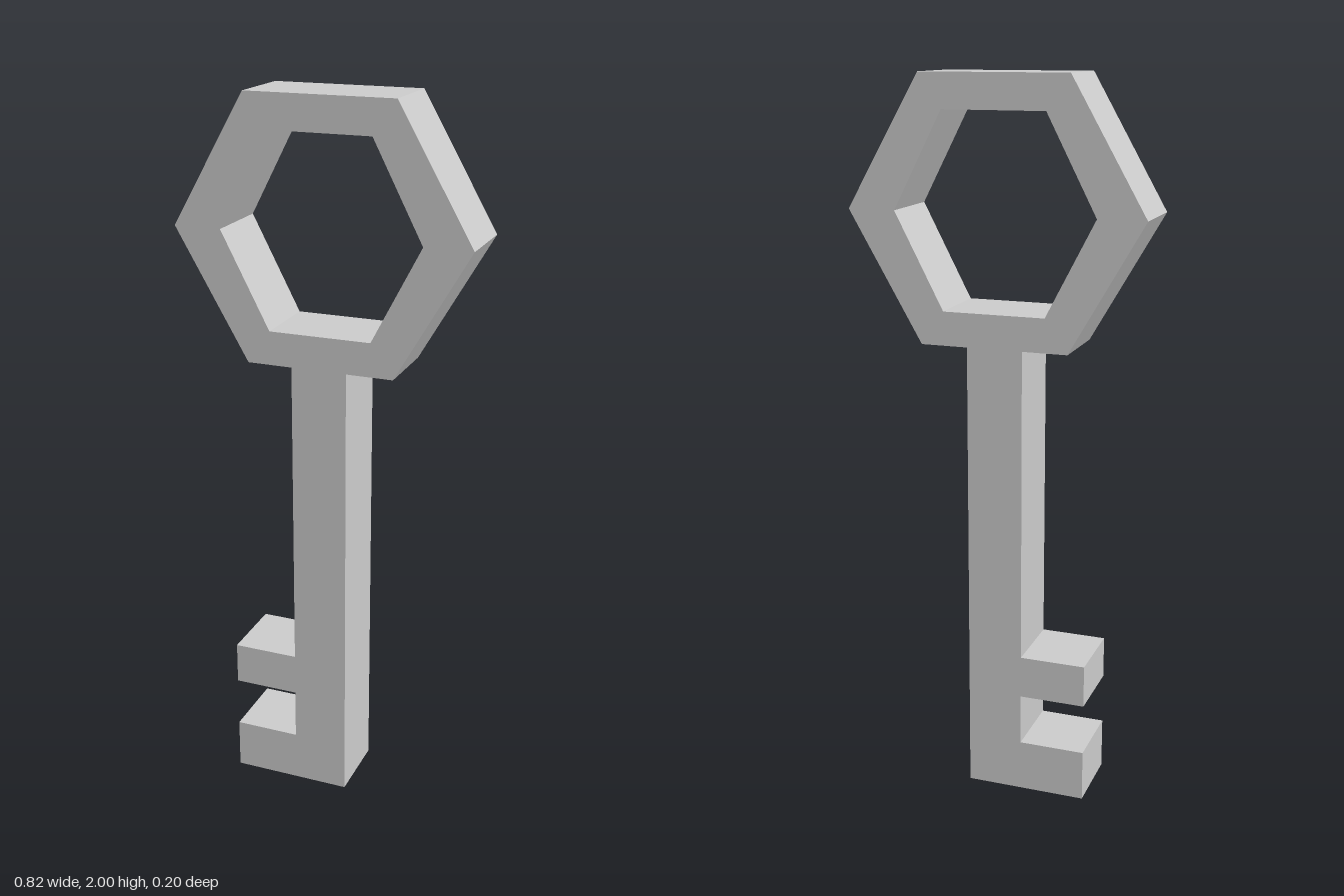
import * as THREE from 'three';

const DEPTH = 0.205;
const BOW_Y = 1.645;

const toPoints = (pairs) => pairs.map(([x, y]) => new THREE.Vector2(x, y));

// Flat-topped hexagon: half width, half height, half length of the flat sides
const hexagon = (w, h, flat) => toPoints([
  [w, BOW_Y], [flat, BOW_Y + h], [-flat, BOW_Y + h],
  [-w, BOW_Y], [-flat, BOW_Y - h], [flat, BOW_Y - h],
]);

export function createModel() {
  const group = new THREE.Group();
  group.name = 'key';
  const material = new THREE.MeshStandardMaterial({ color: 0xcccccc, flatShading: true });

  // Bow, shaft and teeth share one continuous outline
  const right = 0.075, left = -0.08, tip = -0.265;
  const bow = hexagon(0.41, 0.355, 0.205);
  const shaftAndTeeth = toPoints([
    [left, 1.29],
    [left, 0.41], [tip, 0.41], [tip, 0.29], [left, 0.29], // upper tooth
    [left, 0.145], [tip, 0.145], [tip, 0], // lower tooth
    [right, 0], [right, 1.29],
  ]);
  const shape = new THREE.Shape([...bow.slice(0, 5), ...shaftAndTeeth, bow[5]]);

  // Opening in the bow
  shape.holes.push(new THREE.Path(hexagon(0.278, 0.262, 0.142)));

  const geometry = new THREE.ExtrudeGeometry(shape, { depth: DEPTH, bevelEnabled: false });
  geometry.translate(0, 0, -DEPTH / 2);
  const body = new THREE.Mesh(geometry, material);
  body.name = 'keyBody';
  group.add(body);
  return group;
}
